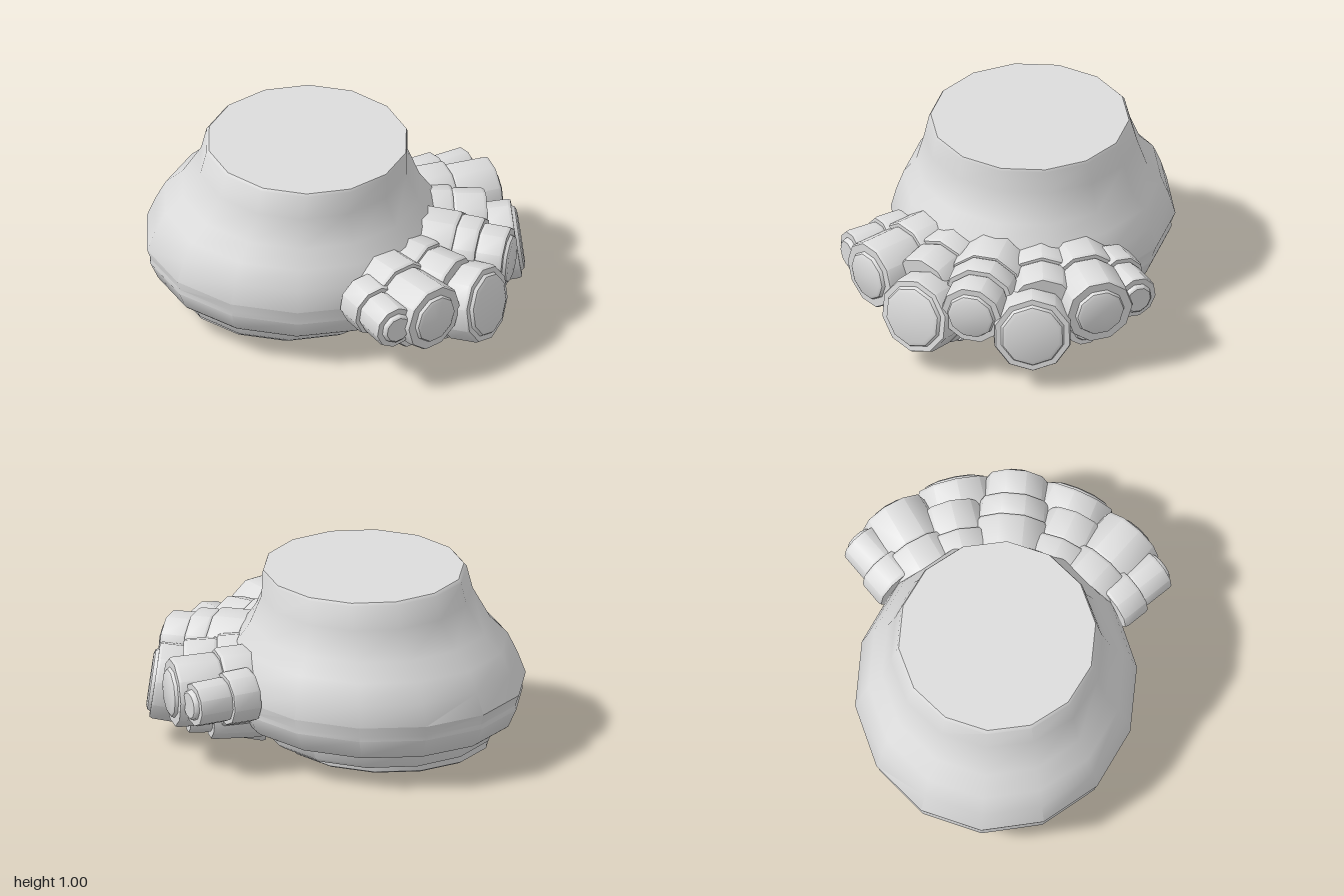
import * as THREE from 'three';
import { toCreasedNormals } from 'three/addons/utils/BufferGeometryUtils.js';

const CREASE = 0.66;
const SIDES = 14;

// Closed skin through elliptical rings [centreX, y, radiusX, radiusZ], listed bottom to top
function loft(rings) {
  const pos = [], index = [];
  const all = [[rings[0][0], rings[0][1], 0, 0], ...rings,
    [rings.at(-1)[0], rings.at(-1)[1], 0, 0]];
  for (const [cx, y, rx, rz] of all) {
    for (let i = 0; i < SIDES; i++) {
      const a = (i / SIDES) * Math.PI * 2;
      pos.push(cx - rx * Math.cos(a), y, rz * Math.sin(a));
    }
  }
  for (let r = 0; r < all.length - 1; r++) {
    for (let i = 0; i < SIDES; i++) {
      const j = (i + 1) % SIDES;
      const a = r * SIDES + i, b = r * SIDES + j;
      const c = a + SIDES, d = b + SIDES;
      if (r > 0) index.push(a, b, d);
      if (r < all.length - 2) index.push(a, d, c);
    }
  }
  const geo = new THREE.BufferGeometry();
  geo.setAttribute('position', new THREE.Float32BufferAttribute(pos, 3));
  geo.setIndex(index);
  return toCreasedNormals(geo, CREASE);
}

// Stepped tube from start to end; joints are [fraction of length, radius], ending in a raised cap
function toeGeometry(start, end, joints, capRadius) {
  const from = new THREE.Vector3(...start), to = new THREE.Vector3(...end);
  const dir = to.clone().sub(from);
  const len = dir.length(), rim = len - 0.025;
  const pts = [[0, 0]];
  let s0 = 0;
  for (const [f, r] of joints) {
    const s1 = f * rim;
    pts.push([r * 0.96, s0], [r, s0 + 0.015], [r * 0.985, s1 - 0.015], [r * 0.95, s1]);
    s0 = s1;
  }
  pts.push([capRadius * 1.06, rim], [capRadius, len - 0.008], [capRadius * 0.88, len], [0, len]);
  const geo = new THREE.LatheGeometry(pts.map(p => new THREE.Vector2(...p)), 10);
  geo.deleteAttribute('normal');
  geo.deleteAttribute('uv');
  geo.applyQuaternion(new THREE.Quaternion().setFromUnitVectors(
    new THREE.Vector3(0, 1, 0), dir.normalize()));
  geo.translate(...start);
  return toCreasedNormals(geo, CREASE);
}

export function createModel() {
  const model = new THREE.Group();
  model.name = 'foot';
  const grey = new THREE.MeshStandardMaterial({ color: 0xdcdcdc });
  grey.name = 'grey';
  const add = (name, geo) => {
    const mesh = new THREE.Mesh(geo, grey);
    mesh.name = name;
    model.add(mesh);
  };

  // Heel and ankle, with a stepped sole
  add('ankle', loft([
    [-0.25, 0.05, 0.55, 0.52],
    [-0.25, 0.06, 0.565, 0.535],
    [-0.25, 0.1, 0.57, 0.54],
    [-0.22, 0.1, 0.605, 0.59],
    [-0.21, 0.12, 0.625, 0.61],
    [-0.21, 0.185, 0.645, 0.63],
    [-0.19, 0.185, 0.73, 0.67],
    [-0.19, 0.2, 0.75, 0.685],
    [-0.185, 0.3, 0.8, 0.73],
    [-0.185, 0.325, 0.795, 0.727],
    [-0.185, 0.385, 0.815, 0.75],
    [-0.18, 0.5, 0.775, 0.72],
    [-0.175, 0.61, 0.725, 0.68],
    [-0.16, 0.7, 0.645, 0.61],
    [-0.145, 0.86, 0.56, 0.565],
    [-0.13, 0.985, 0.545, 0.535],
    [-0.125, 1.0, 0.535, 0.525],
  ]));

  // Middle toe
  add('middleToe', toeGeometry([0.45, 0.43, 0], [0.99, 0.415, 0],
    [[0.48, 0.22], [0.72, 0.205], [1, 0.175]], 0.125));
  add('middleToePad', toeGeometry([0.5, 0.28, 0], [0.86, 0.3, 0],
    [[0.6, 0.12], [1, 0.1]], 0.07));

  // Mirrored toes on each side
  for (const s of [1, -1]) {
    const side = s > 0 ? 'front' : 'back';
    add(side + 'BigToe', toeGeometry([0.34, 0.245, s * 0.14], [0.955, 0.335, s * 0.335],
      [[0.58, 0.245], [0.7, 0.225], [1, 0.215]], 0.165));
    add(side + 'BigToeKnuckle', toeGeometry([0.42, 0.42, s * 0.22], [0.78, 0.4, s * 0.34],
      [[0.5, 0.205], [1, 0.185]], 0.1));
    add(side + 'SecondToe', toeGeometry([0.35, 0.41, s * 0.38], [0.74, 0.405, s * 0.65],
      [[0.45, 0.215], [1, 0.19]], 0.128));
    add(side + 'SecondToePad', toeGeometry([0.33, 0.24, s * 0.33], [0.69, 0.25, s * 0.55],
      [[0.7, 0.14], [1, 0.1]], 0.06));
    add(side + 'SmallToe', toeGeometry([0.31, 0.42, s * 0.55], [0.565, 0.415, s * 0.805],
      [[0.46, 0.148], [1, 0.122]], 0.08));
  }
  return model;
}
